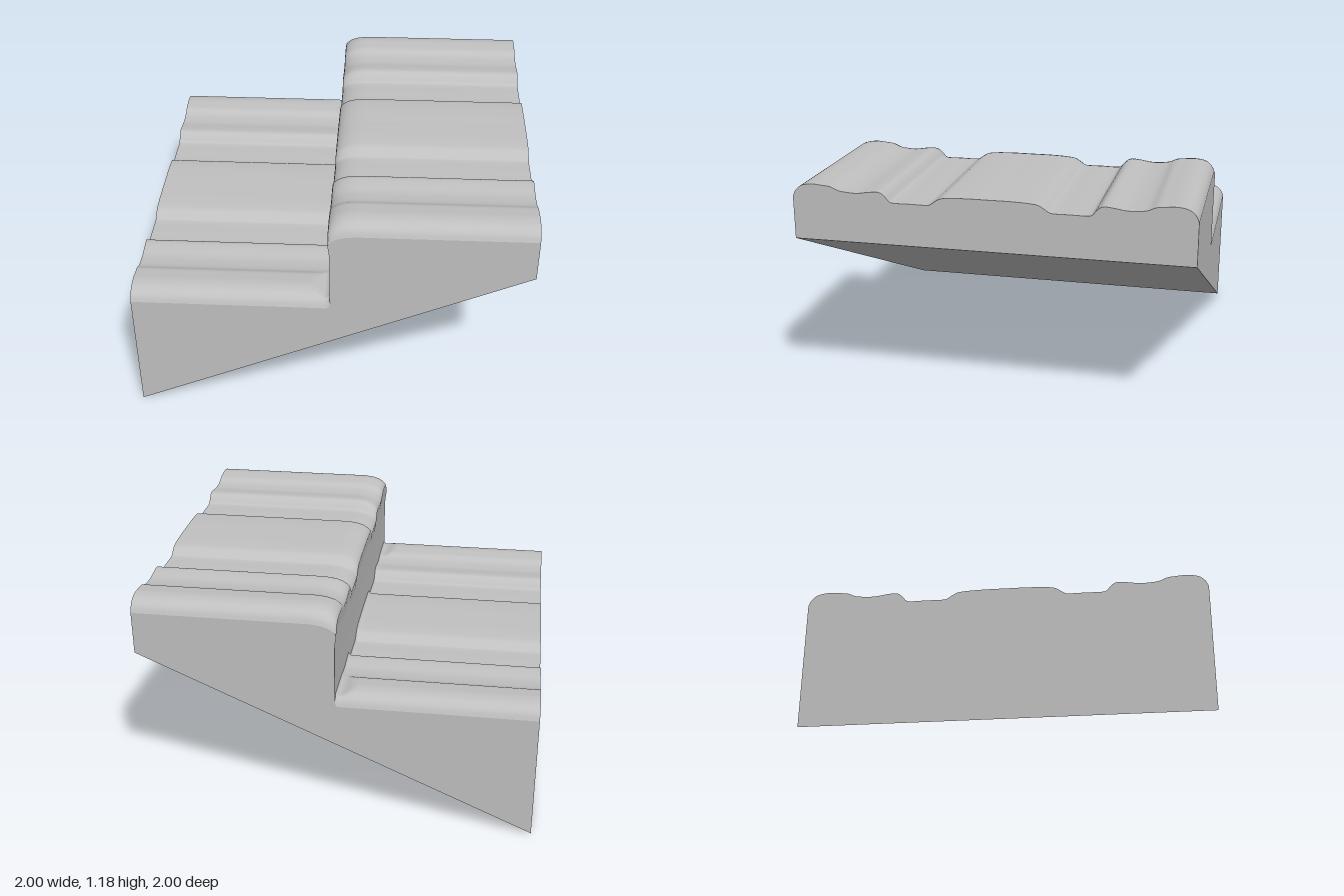
import * as THREE from 'three';

const STEP = 0.447; // rise between the two treads
const floorAt = (x) => STEP * (x + 1);

// Worn tread height across z, half profile mirrored
const half = [
  [0, 1.156], [0.1, 1.156], [0.2, 1.152], [0.245, 1.145], [0.27, 1.13], [0.295, 1.113], [0.31, 1.11],
  [0.4, 1.11], [0.485, 1.11], [0.5, 1.115], [0.52, 1.138], [0.54, 1.155], [0.56, 1.16], [0.6, 1.157],
  [0.66, 1.148], [0.7, 1.148], [0.76, 1.155], [0.8, 1.172], [0.84, 1.177], [0.9, 1.181],
  [0.95, 1.172], [0.97, 1.16], [0.988, 1.14], [1, 1.112],
];
const profile = new THREE.CatmullRomCurve3([
  ...half.slice(1).reverse().map(([z, y]) => new THREE.Vector3(0, y, -z)),
  ...half.map(([z, y]) => new THREE.Vector3(0, y, z)),
]).getPoints(184);

// Each station maps a tread height h to a point [x, y]
const foot = (x, rise = 0) => (h) => [x, Math.min(h - STEP, 0.711) + rise];
const lowerStations = [
  (h) => [-1, h - STEP],
  (h) => [-0.1, h - STEP],
  (h) => [-0.075, Math.min(h - STEP, 0.73)],
  (h) => [-0.05, Math.min(h - STEP, 0.72)],
  foot(-0.03), foot(-0.012), foot(0, 0.015),
];
const lip = [[0, 0.15], [-0.004, 0.1], [-0.01, 0.06], [-0.006, 0.046], [0.008, 0.032],
  [0.03, 0.018], [0.06, 0.008], [0.09, 0.003], [0.13, 0], [1, 0]];
const upperStations = [
  foot(0, 0.015),
  ...lip.map(([x, drop]) => (h) => [x, h - drop]),
];

// Smooth surface through the stations
function sweep(stations) {
  const pos = [], idx = [], n = profile.length;
  stations.forEach((at, i) => profile.forEach((p, j) => {
    pos.push(...at(p.y), p.z);
    if (i && j) {
      const d = i * n + j, c = d - 1, b = d - n, a = b - 1;
      idx.push(a, b, c, b, d, c);
    }
  }));
  const g = new THREE.BufferGeometry();
  g.setAttribute('position', new THREE.Float32BufferAttribute(pos, 3));
  g.setIndex(idx);
  g.computeVertexNormals();
  return g;
}

export function createModel() {
  const model = new THREE.Group();
  const stone = new THREE.MeshStandardMaterial({ color: 0xc0c0c0 });
  stone.name = 'grey stone';
  const add = (name, geometry) => {
    const mesh = new THREE.Mesh(geometry, stone);
    mesh.name = name;
    model.add(mesh);
    return mesh;
  };

  add('lowerTread', sweep(lowerStations));
  add('riserAndUpperTread', sweep(upperStations));

  // Stepped side walls
  const h = profile[0].y;
  const outline = [
    [-1, 0], [1, floorAt(1)],
    ...upperStations.slice().reverse().map((at) => at(h)),
    ...lowerStations.slice(0, -1).reverse().map((at) => at(h)),
  ].map(([x, y]) => new THREE.Vector2(x, y));
  const wall = new THREE.ShapeGeometry(new THREE.Shape(outline));
  add('frontWall', wall).position.z = 1;
  const back = wall.clone();
  const ix = back.index.array;
  for (let i = 0; i < ix.length; i += 3) [ix[i], ix[i + 1]] = [ix[i + 1], ix[i]];
  back.computeVertexNormals();
  add('backWall', back).position.z = -1;

  // Flat ends following the worn profile
  for (const s of [-1, 1]) {
    const bottom = floorAt(s), top = s < 0 ? STEP : 0;
    const pts = profile.map((p) => new THREE.Vector2(-s * p.z, p.y - top));
    pts.push(new THREE.Vector2(-s, bottom), new THREE.Vector2(s, bottom));
    const end = add(s < 0 ? 'lowerEnd' : 'upperEnd', new THREE.ShapeGeometry(new THREE.Shape(pts)));
    end.rotation.y = s * Math.PI / 2;
    end.position.x = s;
  }

  // Sloping underside
  const under = new THREE.PlaneGeometry(Math.hypot(2, floorAt(1)), 2);
  under.rotateX(Math.PI / 2);
  under.rotateZ(Math.atan2(floorAt(1), 2));
  add('underside', under).position.y = floorAt(0);

  return model;
}
